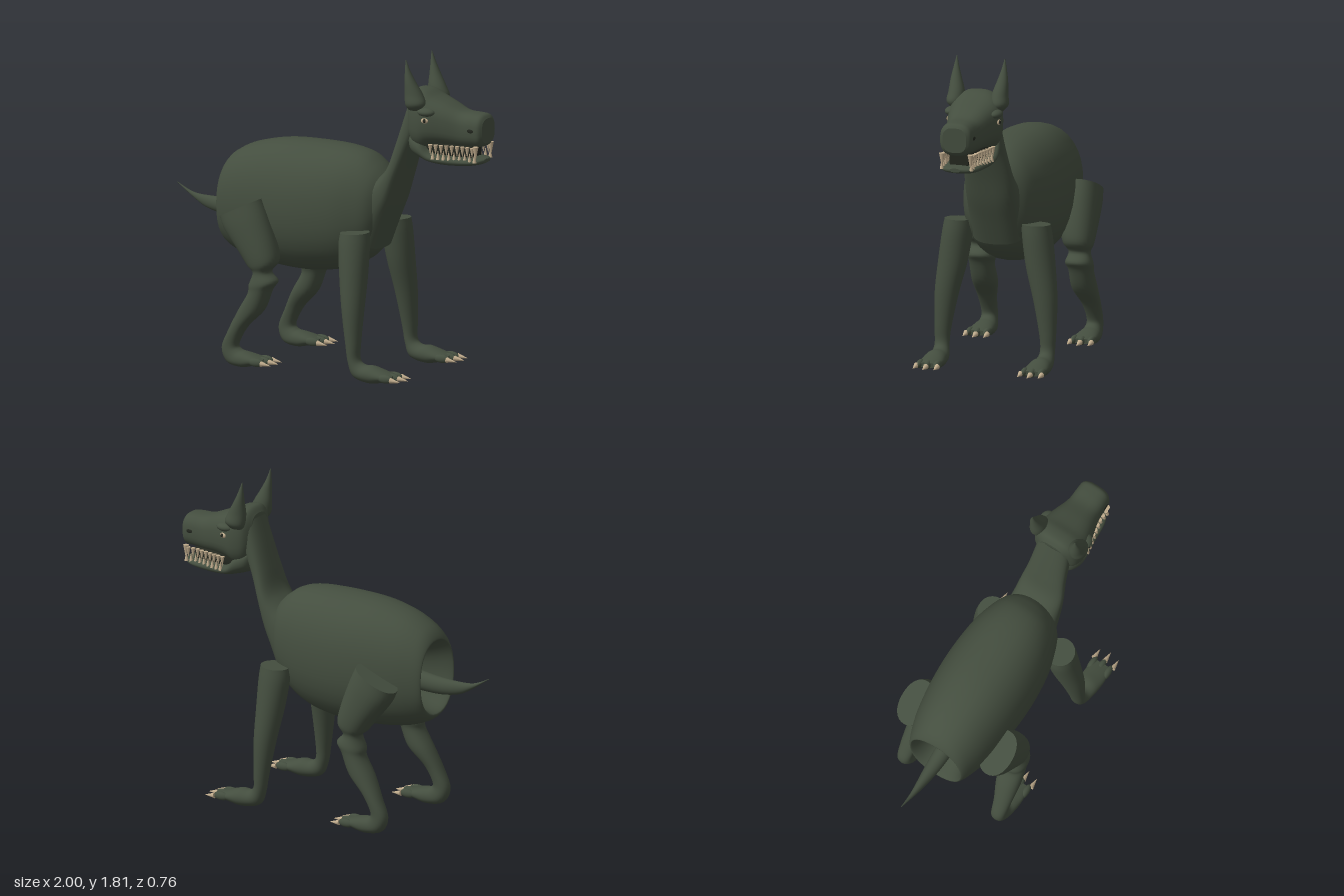
import * as THREE from 'three';

const hide = new THREE.MeshStandardMaterial({ name: 'dark green hide', color: 0x444e3f });
const ivory = new THREE.MeshStandardMaterial({ name: 'ivory', color: 0xbfab8c });
const dark = new THREE.MeshStandardMaterial({ name: 'dark recess', color: 0x23271f });

// Smooth skin through cross-sections [ax, ay, bx, by, z, halfWidth]:
// a and b are opposite silhouette points, p is the squareness of the section.
function loft(name, sections, p = 2, sub = 5, segs = 32) {
  const pos = [], idx = [];
  const n = sections.length;
  const at = (i, k) => sections[Math.max(0, Math.min(n - 1, i))][k];
  const rows = [];
  for (let i = 0; i < n - 1; i++) {
    for (let s = 0; s < sub; s++) rows.push([i, s / sub]);
  }
  rows.push([n - 2, 1]);
  const bend = (v) => Math.sign(v) * Math.abs(v) ** (2 / p);
  const rings = rows.map(([i, t]) => {
    const v = [0, 1, 2, 3, 4, 5].map((k) => {
      const a = at(i - 1, k), b = at(i, k), c = at(i + 1, k), d = at(i + 2, k);
      const m0 = (c - a) / 2, m1 = (d - b) / 2;
      return b + m0 * t + (3 * (c - b) - 2 * m0 - m1) * t * t + (2 * (b - c) + m0 + m1) * t ** 3;
    });
    return Array.from({ length: segs }, (_, j) => {
      const w = (j / segs) * Math.PI * 2;
      const c = bend(Math.cos(w)) / 2;
      return [(v[0] + v[2]) / 2 + (v[2] - v[0]) * c, (v[1] + v[3]) / 2 + (v[3] - v[1]) * c,
        v[4] + v[5] * bend(Math.sin(w))];
    });
  });
  rings.forEach((r) => r.forEach((q) => pos.push(...q)));
  for (let i = 0; i < rings.length - 1; i++) {
    for (let j = 0; j < segs; j++) {
      const a = i * segs + j, b = i * segs + (j + 1) % segs;
      idx.push(a, b, a + segs, b, b + segs, a + segs);
    }
  }
  // separate cap vertices keep the end edges crisp
  [rings[0], rings[rings.length - 1]].forEach((r, end) => {
    const base = pos.length / 3;
    r.forEach((q) => pos.push(...q));
    pos.push(...[0, 1, 2].map((k) => r.reduce((sum, q) => sum + q[k], 0) / segs));
    for (let j = 0; j < segs; j++) {
      const a = base + j, b = base + (j + 1) % segs;
      idx.push(base + segs, end ? a : b, end ? b : a);
    }
  });
  const g = new THREE.BufferGeometry();
  g.setAttribute('position', new THREE.Float32BufferAttribute(pos, 3));
  g.setIndex(idx);
  g.computeVertexNormals();
  const mesh = new THREE.Mesh(g, hide);
  mesh.name = name;
  return mesh;
}

function ellipsoid(name, mat, x, y, z, rx, ry, rz) {
  const m = new THREE.Mesh(new THREE.SphereGeometry(1, 20, 14), mat);
  m.name = name;
  m.position.set(x, y, z);
  m.scale.set(rx, ry, rz);
  return m;
}

function spike(name, x, y, z, radius, length, turn) {
  const m = new THREE.Mesh(new THREE.ConeGeometry(radius, length, 10), ivory);
  m.name = name;
  m.position.set(x, y, z);
  m.rotation.z = turn;
  return m;
}

// Toes and claws at the end of a foot
function addToes(group, x, z) {
  for (const d of [-0.055, 0, 0.055]) {
    const reach = d ? 0 : 0.015;
    group.add(ellipsoid('toe', hide, x - 0.03 + reach, 0.045, z + d * 0.9, 0.05, 0.024, 0.02));
    group.add(spike('claw', x + 0.04 + reach, 0.04, z + d * 1.1, 0.016, 0.065, -Math.PI / 2 - 0.1));
  }
}

export function createModel() {
  const model = new THREE.Group();
  model.name = 'beast';

  // Barrel body with a hollow rear end
  model.add(loft('body', [
    [-0.42, 0.74, -0.42, 0.98, 0, 0.09], [-0.55, 0.69, -0.55, 1.03, 0, 0.13],
    [-0.635, 0.66, -0.635, 1.07, 0, 0.155], [-0.65, 0.64, -0.65, 1.09, 0, 0.17],
    [-0.6, 0.6, -0.6, 1.15, 0, 0.195], [-0.48, 0.56, -0.48, 1.21, 0, 0.23],
    [-0.3, 0.535, -0.3, 1.25, 0, 0.257], [-0.1, 0.53, -0.1, 1.26, 0, 0.267],
    [0.1, 0.56, 0.1, 1.255, 0, 0.25], [0.23, 0.62, 0.23, 1.23, 0, 0.215],
    [0.31, 0.7, 0.31, 1.18, 0, 0.18], [0.37, 0.83, 0.36, 1.13, 0, 0.12],
  ], 2.2));

  model.add(loft('tail', [
    [-0.42, 0.9, -0.42, 0.78, 0, 0.055], [-0.65, 0.87, -0.65, 0.77, 0, 0.043],
    [-0.8, 0.865, -0.79, 0.79, 0, 0.026], [-0.9, 0.875, -0.88, 0.835, 0, 0.013],
    [-1, 0.92, -0.998, 0.916, 0, 0.002],
  ]));

  model.add(loft('neck', [
    [0.33, 0.7, 0.14, 0.8, 0, 0.15], [0.38, 0.83, 0.22, 1.02, 0, 0.155],
    [0.43, 0.96, 0.34, 1.12, 0, 0.145], [0.475, 1.11, 0.4, 1.19, 0, 0.135],
    [0.525, 1.25, 0.44, 1.31, 0, 0.118], [0.58, 1.38, 0.48, 1.44, 0, 0.108],
    [0.62, 1.5, 0.525, 1.58, 0, 0.1],
  ], 2.5));

  // Head, jaw and mouth
  const head = new THREE.Group();
  head.name = 'head';
  model.add(head);
  head.add(loft('skullAndMuzzle', [
    [0.525, 1.42, 0.53, 1.6, 0, 0.08], [0.56, 1.32, 0.56, 1.635, 0, 0.13],
    [0.62, 1.3, 0.62, 1.63, 0, 0.152], [0.68, 1.325, 0.68, 1.6, 0, 0.148],
    [0.76, 1.335, 0.76, 1.57, 0, 0.125], [0.85, 1.335, 0.85, 1.535, 0, 0.1],
    [0.93, 1.34, 0.93, 1.53, 0, 0.095], [0.975, 1.345, 0.975, 1.525, 0, 0.09],
    [0.995, 1.365, 0.995, 1.505, 0, 0.07],
  ], 2.7));
  head.add(loft('lowerJaw', [
    [0.53, 1.3, 0.53, 1.42, 0, 0.08], [0.56, 1.265, 0.56, 1.4, 0, 0.115],
    [0.62, 1.242, 0.62, 1.37, 0, 0.135], [0.68, 1.23, 0.68, 1.3, 0, 0.13],
    [0.78, 1.222, 0.78, 1.29, 0, 0.118], [0.9, 1.232, 0.9, 1.283, 0, 0.108],
    [0.96, 1.243, 0.96, 1.278, 0, 0.08], [0.985, 1.253, 0.985, 1.275, 0, 0.03],
  ], 2.3));
  const mouth = loft('mouthInterior', [
    [0.62, 1.26, 0.62, 1.37, 0, 0.09], [0.8, 1.26, 0.8, 1.36, 0, 0.08], [0.92, 1.26, 0.92, 1.36, 0, 0.055],
  ], 3);
  mouth.material = dark;
  head.add(mouth);

  for (const s of [1, -1]) {
    const side = s > 0 ? 'right' : 'left';

    // Pointed ear
    head.add(loft(side + 'Ear', [
      [0.64, 1.53, 0.56, 1.53, s * 0.125, 0.025], [0.665, 1.57, 0.545, 1.56, s * 0.13, 0.048],
      [0.645, 1.62, 0.54, 1.62, s * 0.127, 0.045], [0.605, 1.69, 0.543, 1.69, s * 0.135, 0.031],
      [0.575, 1.75, 0.545, 1.75, s * 0.139, 0.016], [0.552, 1.81, 0.548, 1.81, s * 0.14, 0.002],
    ]));
    head.add(ellipsoid('brow', hide, 0.67, 1.525, s * 0.125, 0.055, 0.025, 0.04));
    head.add(ellipsoid('eye', ivory, 0.67, 1.48, s * 0.138, 0.025, 0.018, 0.02));
    head.add(ellipsoid('pupil', dark, 0.675, 1.481, s * 0.153, 0.01, 0.011, 0.007));
    head.add(ellipsoid('nostril', dark, 0.93, 1.44, s * 0.092, 0.024, 0.012, 0.005));

    // Interlocking teeth along the lips, with a fang at the front
    for (let i = 0; i < 9; i++) {
      const x = 0.695 + i * 0.031;
      const z = s * (0.122 - 0.034 * Math.min(1, i / 6));
      head.add(spike('upperTooth', x, 1.315, z, 0.013, 0.06, Math.PI));
      head.add(spike('lowerTooth', x + 0.014, 1.29, z * 0.98, 0.012, 0.055, 0));
    }
    head.add(spike('fang', 0.962, 1.31, s * 0.083, 0.017, 0.085, Math.PI));

    // Front leg, shoulder to foot
    const front = new THREE.Group();
    front.name = side + 'FrontLeg';
    front.add(loft('frontLimb', [
      [0.19, 0.815, 0.355, 0.825, s * 0.225, 0.08], [0.185, 0.74, 0.362, 0.74, s * 0.235, 0.085],
      [0.205, 0.58, 0.362, 0.58, s * 0.257, 0.083], [0.235, 0.4, 0.36, 0.4, s * 0.288, 0.068],
      [0.268, 0.2, 0.353, 0.22, s * 0.306, 0.048], [0.285, 0.1, 0.352, 0.13, s * 0.308, 0.042],
      [0.32, 0.025, 0.385, 0.1, s * 0.305, 0.05], [0.42, 0, 0.44, 0.1, s * 0.305, 0.062],
      [0.5, 0.012, 0.5, 0.082, s * 0.305, 0.065], [0.575, 0.03, 0.575, 0.06, s * 0.305, 0.055],
    ]));
    addToes(front, 0.575, s * 0.305);
    model.add(front);

    // Hind leg, thigh to foot
    const hind = new THREE.Group();
    hind.name = side + 'HindLeg';
    hind.add(loft('hindLimb', [
      [-0.555, 0.83, -0.31, 0.95, s * 0.27, 0.09], [-0.52, 0.76, -0.265, 0.85, s * 0.27, 0.098],
      [-0.43, 0.65, -0.21, 0.7, s * 0.27, 0.098], [-0.37, 0.575, -0.195, 0.61, s * 0.278, 0.084],
      [-0.335, 0.54, -0.235, 0.55, s * 0.285, 0.062], [-0.36, 0.47, -0.195, 0.5, s * 0.285, 0.077],
      [-0.365, 0.42, -0.225, 0.45, s * 0.29, 0.07], [-0.425, 0.32, -0.275, 0.33, s * 0.292, 0.07],
      [-0.485, 0.2, -0.37, 0.23, s * 0.305, 0.052], [-0.525, 0.1, -0.425, 0.13, s * 0.308, 0.044],
      [-0.49, 0.02, -0.41, 0.097, s * 0.305, 0.052], [-0.4, 0, -0.37, 0.088, s * 0.305, 0.062],
      [-0.32, 0.016, -0.32, 0.077, s * 0.305, 0.064], [-0.255, 0.03, -0.255, 0.06, s * 0.305, 0.055],
    ], 2.2));
    addToes(hind, -0.255, s * 0.305);
    model.add(hind);
  }
  return model;
}
